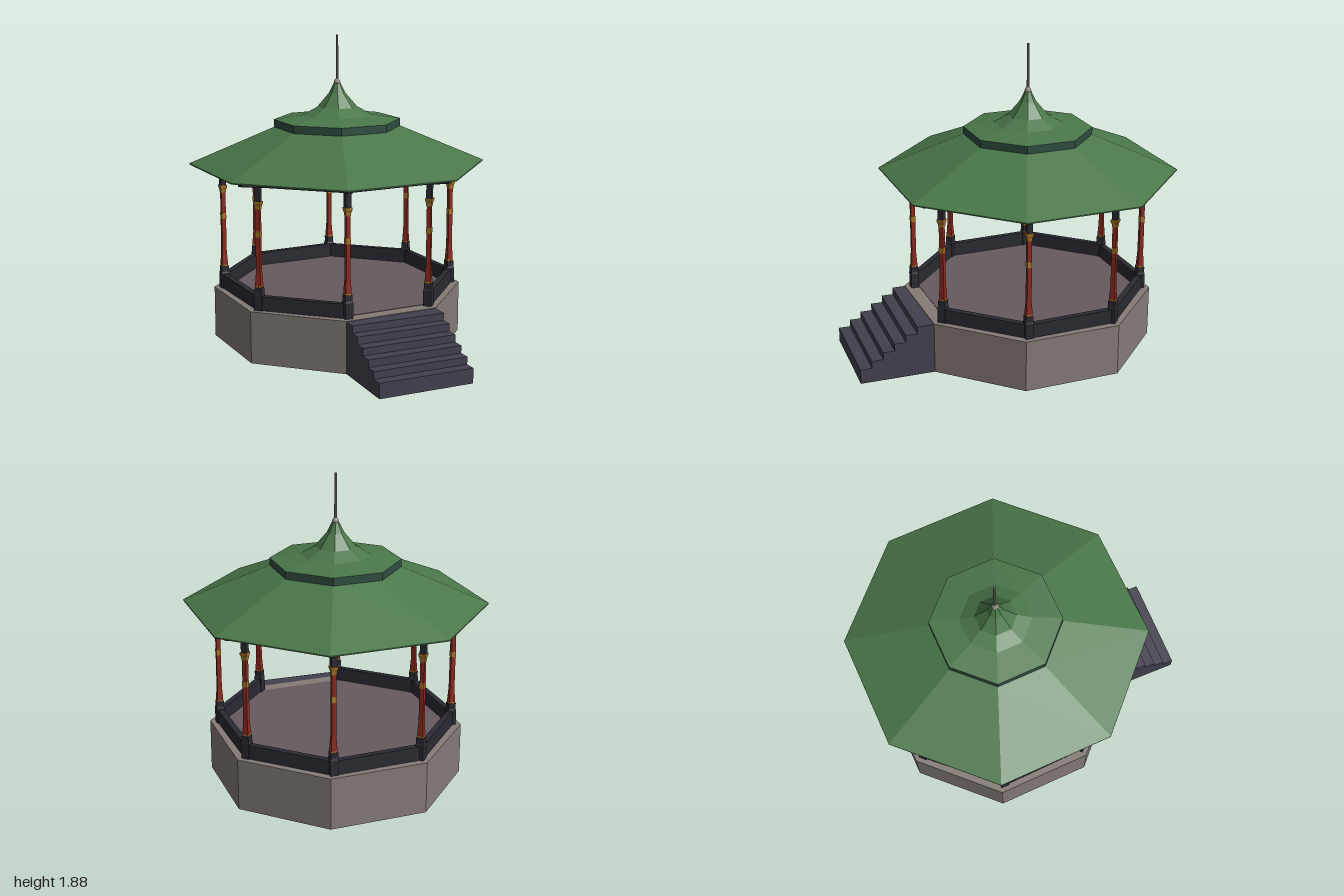
import * as THREE from 'three';

const DEG = Math.PI / 180;
const CENTRE_Z = -0.15;     // pavilion axis
const ROOF_TURN = 24.7 * DEG; // first corner of roof and platform
const POST_TURN = 25.6 * DEG; // first column
const POST_R = 0.705;

const mat = (color) => new THREE.MeshStandardMaterial({ color, flatShading: true });
const M = {
  roof: mat(0x4a774a), band: mat(0x2f4d40), ceiling: mat(0x3d3020),
  stone: mat(0x857b76), floor: mat(0x665a5e), stair: mat(0x42404e),
  dark: mat(0x2a2a33), red: mat(0x8a2a1e), gold: mat(0xa8742a), metal: mat(0x8c867c),
};

function add(parent, name, geometry, material) {
  const mesh = new THREE.Mesh(geometry, material);
  mesh.name = name;
  parent.add(mesh);
  return mesh;
}

// Faceted solid of revolution from [radius, height] pairs
const lathe = (points, sides, start = 0) =>
  new THREE.LatheGeometry(points.map(([r, y]) => new THREE.Vector2(r, y)), sides, start);
const octagon = (points) => lathe(points, 8, ROOF_TURN);

// One square column on its pedestal
function createColumn() {
  const column = new THREE.Group();
  const square = (name, points, material) => add(column, name, lathe(points, 4), material);
  square('pedestal', [[0.035, 0.3], [0.035, 0.41], [0.031, 0.42], [0.031, 0.455], [0, 0.457]], M.dark);
  square('columnFoot', [[0.027, 0.455], [0.027, 0.464]], M.gold);
  square('columnShaft', [[0.026, 0.46], [0.025, 0.48], [0.019, 0.55], [0.018, 0.93]], M.red);
  square('columnBand', [[0.018, 0.755], [0.0205, 0.755], [0.0205, 0.79], [0.018, 0.79]], M.gold);
  square('columnCapital', [[0.018, 0.915], [0.022, 0.925], [0.022, 0.935], [0.031, 0.955],
    [0.031, 0.965], [0, 0.965]], M.gold);
  square('columnHead', [[0.023, 0.96], [0.023, 1.09]], M.dark);
  return column;
}

// Tapered bracket carrying the eave outward along +z
function bracketGeometry() {
  const s = new THREE.Shape();
  s.moveTo(0.67, 1.05);
  s.lineTo(0.73, 1.05);
  s.lineTo(0.85, 1.072);
  s.lineTo(0.85, 1.094);
  s.lineTo(0.67, 1.094);
  const g = new THREE.ExtrudeGeometry(s, { depth: 0.03, bevelEnabled: false });
  return g.rotateY(-Math.PI / 2).translate(0.015, 0, 0);
}

// Flight of six steps with a solid side profile
function stairGeometry() {
  const s = new THREE.Shape();
  s.moveTo(0.5, 0);
  s.lineTo(1, 0);
  for (let i = 0; i < 6; i++) {
    const y = 0.09 + i * 0.0445;
    s.lineTo(1 - i * 0.07, y);
    s.lineTo(i < 5 ? 0.93 - i * 0.07 : 0.5, y);
  }
  const g = new THREE.ExtrudeGeometry(s, { depth: 0.585, bevelEnabled: false });
  return g.rotateY(-Math.PI / 2).translate(0.32, 0, 0);
}

export function createModel() {
  const model = new THREE.Group();
  model.name = 'pavilion';
  add(model, 'stairs', stairGeometry(), M.stair);

  const body = new THREE.Group();
  body.name = 'pavilionBody';
  body.position.z = CENTRE_Z;
  model.add(body);

  // Platform and floor
  add(body, 'platform', octagon([[0, 0], [0.768, 0], [0.768, 0.316], [0, 0.316]]), M.stone);
  add(body, 'floor', octagon([[0.68, 0.316], [0.68, 0.319], [0, 0.319]]), M.floor);

  // Columns, brackets, low walls and ring beam
  const side = 2 * POST_R * Math.sin(22.5 * DEG);
  const apothem = POST_R * Math.cos(22.5 * DEG);
  const bracket = bracketGeometry();
  for (let i = 0; i < 8; i++) {
    const angle = POST_TURN + i * 45 * DEG;
    const column = createColumn();
    column.name = 'column';
    column.position.set(POST_R * Math.sin(angle), 0, POST_R * Math.cos(angle));
    column.rotation.y = i * 45 * DEG;
    body.add(column);

    add(body, 'eaveBracket', bracket, M.dark).rotation.y = angle;

    const bay = new THREE.Group();
    bay.name = 'bay';
    bay.rotation.y = angle + 22.5 * DEG;
    body.add(bay);
    add(bay, 'ringBeam', new THREE.BoxGeometry(side + 0.012, 0.044, 0.032), M.dark)
      .position.set(0, 1.072, apothem);
    // The bay above the stairs stays open
    if (i < 7) {
      add(bay, 'lowWall', new THREE.BoxGeometry(side, 0.09, 0.036), M.dark)
        .position.set(0, 0.357, apothem);
    }
  }

  // Roof: broad skirt, upright band, curved peak
  add(body, 'ceiling', octagon([[0, 1.093], [0.905, 1.093]]), M.ceiling);
  add(body, 'lowerRoof', octagon([[0.905, 1.093], [0.905, 1.1], [0.384, 1.32]]), M.roof);
  add(body, 'roofBand', octagon([[0.38, 1.315], [0.387, 1.318], [0.387, 1.365]]), M.band);
  add(body, 'upperRoof', octagon([[0.387, 1.365], [0.21, 1.392], [0.122, 1.44],
    [0.05, 1.525], [0.018, 1.59]]), M.roof);

  // Finial
  add(body, 'finialCap', lathe([[0.018, 1.575], [0.021, 1.588], [0.017, 1.6], [0.008, 1.612]], 12), M.metal);
  add(body, 'finialRod', new THREE.CylinderGeometry(0.007, 0.008, 0.275, 10), M.metal)
    .position.y = 1.7375;

  return model;
}
